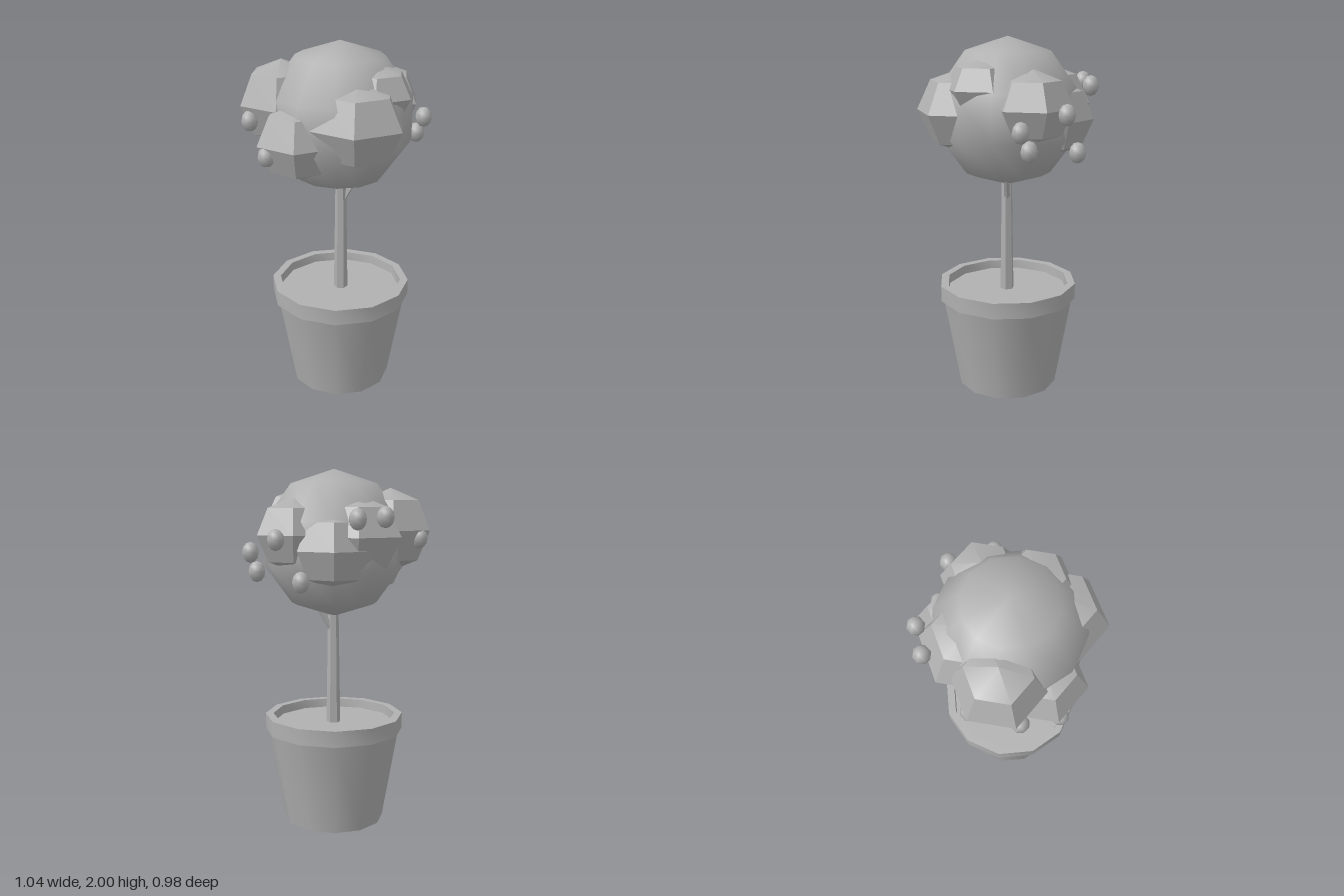
import * as THREE from 'three';
import { toCreasedNormals } from 'three/addons/utils/BufferGeometryUtils.js';

export function createModel() {
  const model = new THREE.Group();
  model.name = 'pottedTopiary';
  const grey = new THREE.MeshStandardMaterial({ color: 0xb0b0b0 });
  grey.name = 'plain grey';

  const add = (name, geometry, x, y, z, parent = model) => {
    const mesh = new THREE.Mesh(geometry, grey);
    mesh.name = name;
    mesh.position.set(x, y, z);
    parent.add(mesh);
    return mesh;
  };
  const group = (name) => {
    const g = new THREE.Group();
    g.name = name;
    model.add(g);
    return g;
  };

  // Tapered pot with an overhanging rim
  const lathe = (points) => toCreasedNormals(
    new THREE.LatheGeometry(points.map(([r, y]) => new THREE.Vector2(r, y)), 12), 0.6);
  add('pot', lathe([[0, 0], [0.285, 0], [0.377, 0.53], [0.395, 0.53], [0.395, 0.62],
    [0.35, 0.62], [0.345, 0.56]]), -0.005, 0, 0.015);
  add('soil', lathe([[0.347, 0.57], [0, 0.57]]), -0.005, 0, 0.015);

  // Six-sided trunk and a short side branch reaching into the crown
  const stick = (name, from, to, r0, r1, sides) => {
    const a = new THREE.Vector3(...from), b = new THREE.Vector3(...to);
    const dir = b.clone().sub(a);
    const geometry = new THREE.CylinderGeometry(r1, r0, dir.length(), sides);
    const mid = a.clone().add(b).multiplyScalar(0.5);
    const mesh = add(name, toCreasedNormals(geometry, 0.6), mid.x, mid.y, mid.z);
    mesh.quaternion.setFromUnitVectors(new THREE.Vector3(0, 1, 0), dir.normalize());
  };
  stick('trunk', [-0.003, 0.56, 0.018], [-0.003, 1.35, 0.018], 0.04, 0.028, 6);
  stick('branch', [0.005, 1.11, 0.02], [0.11, 1.3, 0.06], 0.018, 0.014, 5);

  // Round crown
  add('crown', new THREE.SphereGeometry(0.407, 12, 5), -0.005, 1.595, 0.012);

  // Six-sided leaf clumps around the crown: x, y, z, radius, half height
  const leaves = group('leafClumps');
  [
    [-0.025, 1.61, 0.25, 0.27, 0.23],
    [-0.275, 1.67, -0.145, 0.237, 0.23],
    [-0.275, 1.51, 0.08, 0.237, 0.21],
    [-0.02, 1.64, -0.195, 0.265, 0.22],
    [0.13, 1.57, -0.205, 0.22, 0.21],
    [0.27, 1.65, -0.03, 0.22, 0.2],
    [0.12, 1.74, 0.195, 0.2, 0.16],
  ].forEach(([x, y, z, r, h]) => {
    const clump = new THREE.SphereGeometry(1, 6, 4).scale(r, h, r);
    add('leafClump', toCreasedNormals(clump, 0.5), x, y, z, leaves);
  });

  // Berries
  const berries = group('berries');
  const berry = new THREE.SphereGeometry(0.047, 8, 6).scale(1, 1.2, 1);
  [
    [-0.035, 1.745, -0.445], [0.12, 1.735, -0.425], [0.355, 1.415, -0.255],
    [0.445, 1.63, -0.155], [0.468, 1.555, 0.1], [0.455, 1.455, 0.05],
    [-0.475, 1.595, -0.11], [-0.47, 1.46, 0.105], [-0.345, 1.63, -0.32],
  ].forEach(([x, y, z]) => add('berry', berry, x, y, z, berries));

  return model;
}
